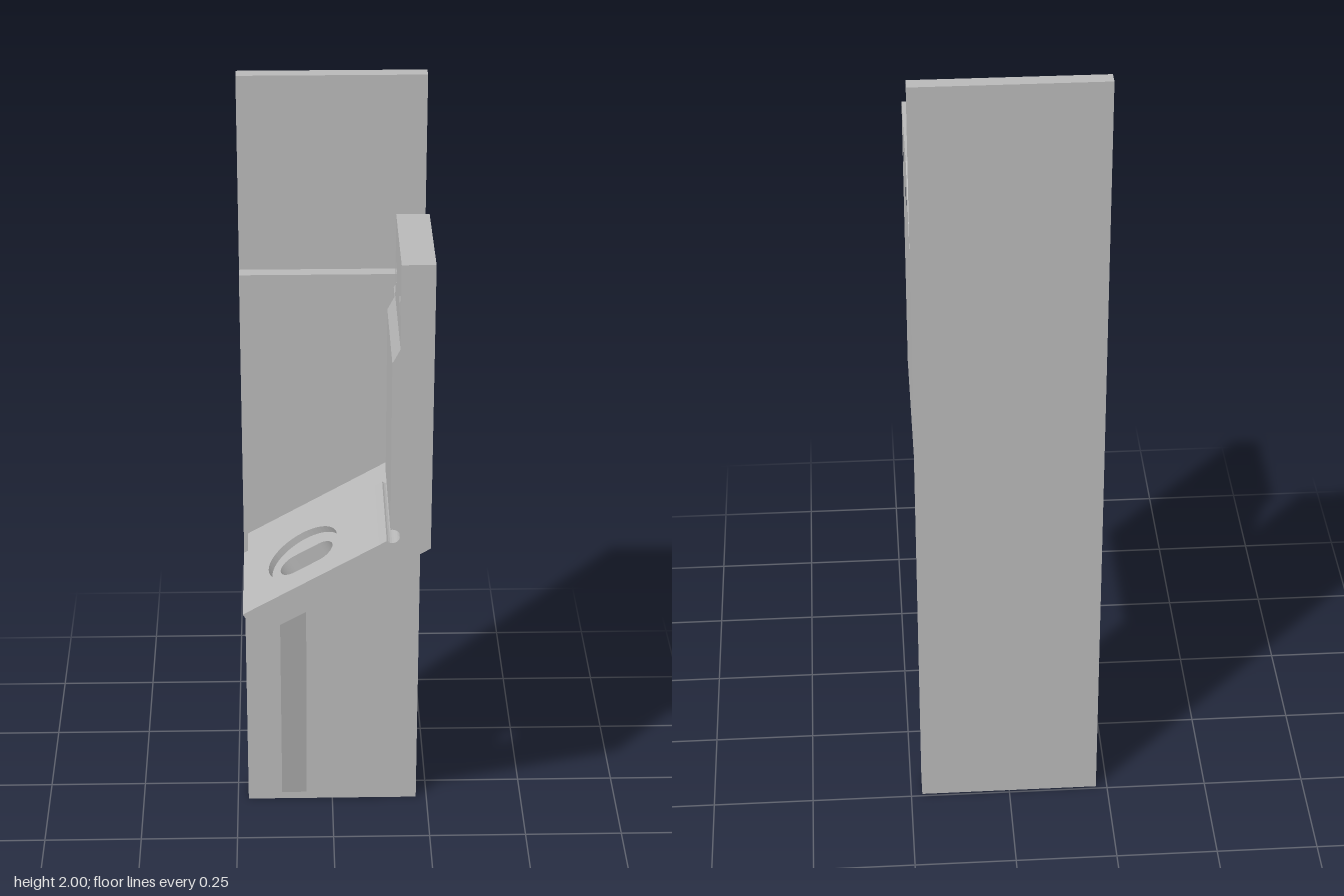
import * as THREE from 'three';

const W = 0.222, BACK = -0.243, FRONT = 0.243, STEP = -0.05, LEDGE = -0.175;
const TILT = Math.PI / 6, THICK = 0.07, FLOOR = 0.052;

// Point on the tilted shelf: u along the slope, n away from its underside
const slope = (u, n) => [
  -0.185 + u * Math.cos(TILT) - n * Math.sin(TILT),
  0.765 + u * Math.sin(TILT) + n * Math.cos(TILT),
];
const shapeOf = (pts) => new THREE.Shape(pts.map(([a, b]) => new THREE.Vector2(a, b)));
const extrude = (shape, depth) =>
  new THREE.ExtrudeGeometry(shape, { depth, bevelEnabled: false, curveSegments: 24 });

// (x, y) profile swept from z0 to z1
const alongZ = (pts, z0, z1) => extrude(shapeOf(pts), z1 - z0).translate(0, 0, z0);

// (z, y) profile swept from x0 to x1, with optional round holes [z, y, r]
function alongX(pts, x0, x1, holes = []) {
  const shape = shapeOf(pts.map(([z, y]) => [-z, y]));
  for (const [z, y, r] of holes) {
    shape.holes.push(new THREE.Path().absarc(-z, y, r, 0, Math.PI * 2, true));
  }
  return extrude(shape, x1 - x0).rotateY(Math.PI / 2).translate(x0, 0, 0);
}

// Layer of the tilted shelf between heights n0 and n1, from zBack to the front
function shelfLayer(n0, n1, zBack, hole) {
  const shape = shapeOf([[0, -FRONT], [0.37, -FRONT], [0.37, -zBack], [0, -zBack]]);
  shape.holes.push(hole);
  const [x, y] = slope(0, 0);
  const c = Math.cos(TILT), s = Math.sin(TILT);
  const basis = new THREE.Matrix4().makeBasis(
    new THREE.Vector3(c, s, 0), new THREE.Vector3(0, 0, -1), new THREE.Vector3(-s, c, 0));
  return extrude(shape, n1 - n0).translate(0, 0, n0).applyMatrix4(basis).translate(x, y, 0);
}

export function createModel() {
  const model = new THREE.Group();
  const grey = new THREE.MeshStandardMaterial({ color: 0xb8b8b8 });
  grey.name = 'grey';
  const add = (name, geometry) => {
    const mesh = new THREE.Mesh(geometry, grey);
    mesh.name = name;
    model.add(mesh);
  };
  const box = (x0, x1, y0, y1, z0, z1) =>
    new THREE.BoxGeometry(x1 - x0, y1 - y0, z1 - z0)
      .translate((x0 + x1) / 2, (y0 + y1) / 2, (z0 + z1) / 2);

  // Tall back plate and the shorter layer in front of it
  add('backPlate', box(-W, W, 0, 2, BACK, -0.208));
  add('frontLayer', box(-W, W, 0, 1.515, -0.208, LEDGE));

  // Shelf: slotted lower layer, upper layer with the round counterbore
  const u = 0.166, v = -0.095, r = 0.039, half = 0.033;
  const slot = new THREE.Path();
  slot.absarc(u + half, v, r, -Math.PI / 2, Math.PI / 2, false);
  slot.absarc(u - half, v, r, Math.PI / 2, Math.PI * 1.5, false);
  slot.closePath();
  const bore = new THREE.Path().absarc(u, v, 0.095, 0, Math.PI * 2, true);
  add('shelfBottom', shelfLayer(0, FLOOR, LEDGE, slot));
  add('shelfTop', shelfLayer(FLOOR, THICK, STEP, bore));

  // Corner between shelf and side wall, with a round relief groove
  const groove = [];
  for (let i = 0; i <= 16; i++) {
    const a = THREE.MathUtils.degToRad(106 - (243 * i) / 16);
    groove.push([0.132 + 0.018 * Math.cos(a), 1.034 + 0.018 * Math.sin(a)]);
  }
  const outer = [slope(0.37, 0), [W, 1.0], [W, 1.1]];
  add('frontCorner', alongZ(
    [...outer, [0.127, 1.1], ...groove, slope(0.37, THICK)], STEP, FRONT));
  add('rearCorner', alongZ(
    [...outer, [0.147, 1.1], slope(0.413, FLOOR), slope(0.37, FLOOR)], LEDGE, STEP));

  // Side wall with two cross holes and a chamfered rear corner
  const holes = [[0.19, 1.6, 0.024], [0.01, 1.6, 0.024]];
  add('sideWall', alongX(
    [[FRONT, 1.1], [FRONT, 1.72], [STEP, 1.72], [-0.208, 1.565], [-0.208, 1.1]],
    0.165, W, holes));
  add('sideWallInner', alongX(
    [[FRONT, 1.1], [FRONT, 1.72], [STEP, 1.72], [STEP, 1.1]], 0.145, 0.165, holes));

  // Raised inner pads with a sloped lead-in at the top
  const pad = (x) => [[x, 1.1], [x + 0.018, 1.1], [x + 0.018, 1.515], [x, 1.48]];
  add('frontPad', alongZ(pad(0.127), STEP, FRONT));
  add('rearPad', alongZ(pad(0.147), LEDGE, STEP));

  // Tapered rib below the shelf
  add('supportRib', alongX(
    [[LEDGE, 0.02], [0.005, 0.735], [0.005, 0.775], [LEDGE, 0.775]], -0.133, -0.068));

  return model;
}
